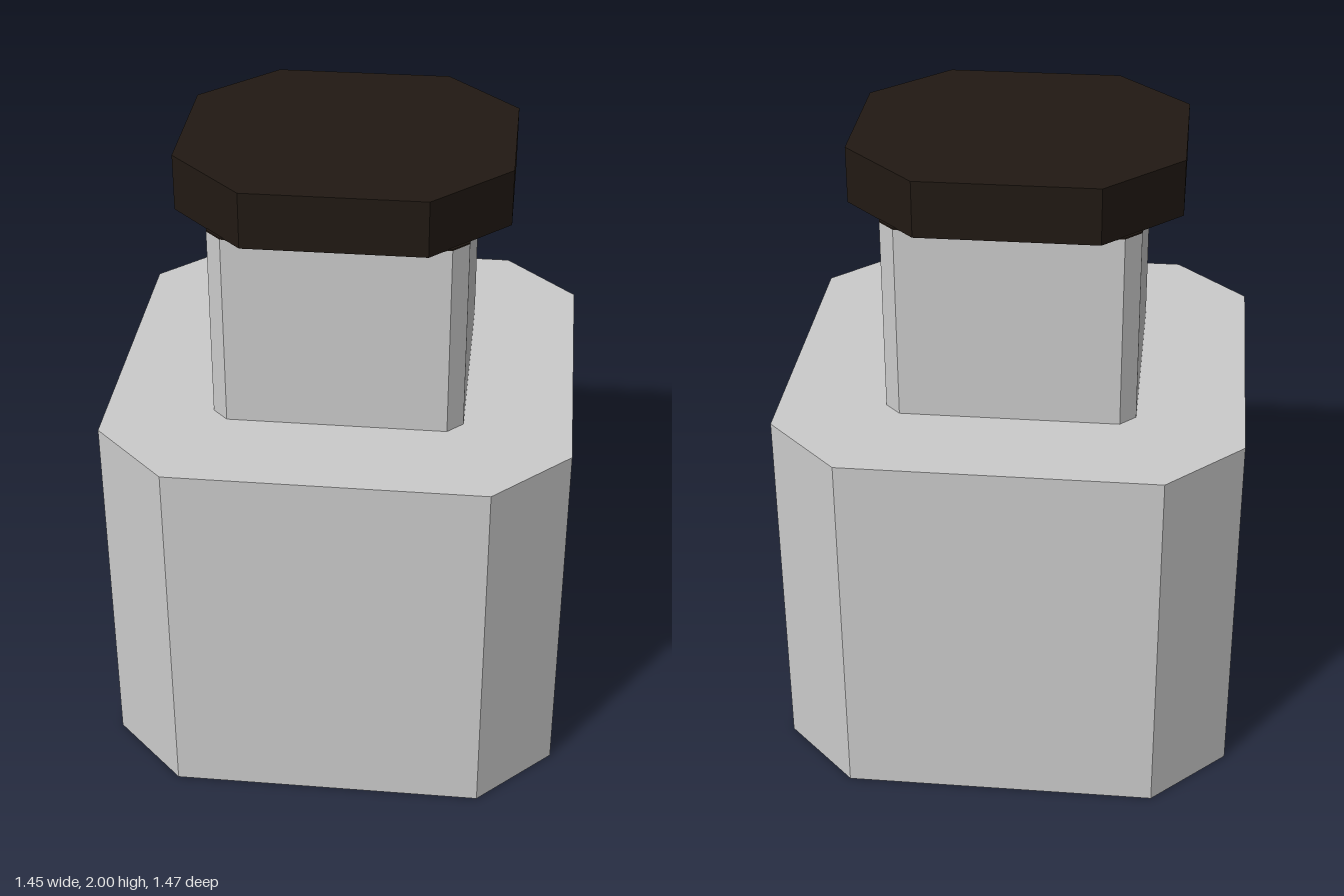
import * as THREE from 'three';

const grey = new THREE.MeshStandardMaterial({ color: 0xcccccc, flatShading: true });
const dark = new THREE.MeshStandardMaterial({ color: 0x211913, flatShading: true });

// Upright block with chamfered corners: half sizes x, z and chamfer starts cx, cz
function chamferedBlock(name, x, z, cx, cz, y0, y1, material) {
  const corners = [[x, cz], [cx, z], [-cx, z], [-x, cz], [-x, -cz], [-cx, -z], [cx, -z], [x, -cz]];
  const shape = new THREE.Shape(corners.map(([a, b]) => new THREE.Vector2(a, b)));
  const geometry = new THREE.ExtrudeGeometry(shape, { depth: y1 - y0, bevelEnabled: false });
  geometry.rotateX(-Math.PI / 2);
  geometry.translate(0, y0, 0);
  const mesh = new THREE.Mesh(geometry, material);
  mesh.name = name;
  return mesh;
}

export function createModel() {
  const bottle = new THREE.Group();
  bottle.name = 'bottle';
  bottle.add(
    chamferedBlock('body', 0.724, 0.735, 0.49, 0.505, 0, 1.197, grey),
    chamferedBlock('neck', 0.389, 0.402, 0.341, 0.354, 1.197, 1.82, grey),
    // Thin dark seal whose corners show just outside the lid
    chamferedBlock('seal', 0.389, 0.402, 0.341, 0.354, 1.82, 1.825, dark),
    chamferedBlock('lid', 0.506, 0.457, 0.275, 0.225, 1.823, 2, dark),
  );
  return bottle;
}
